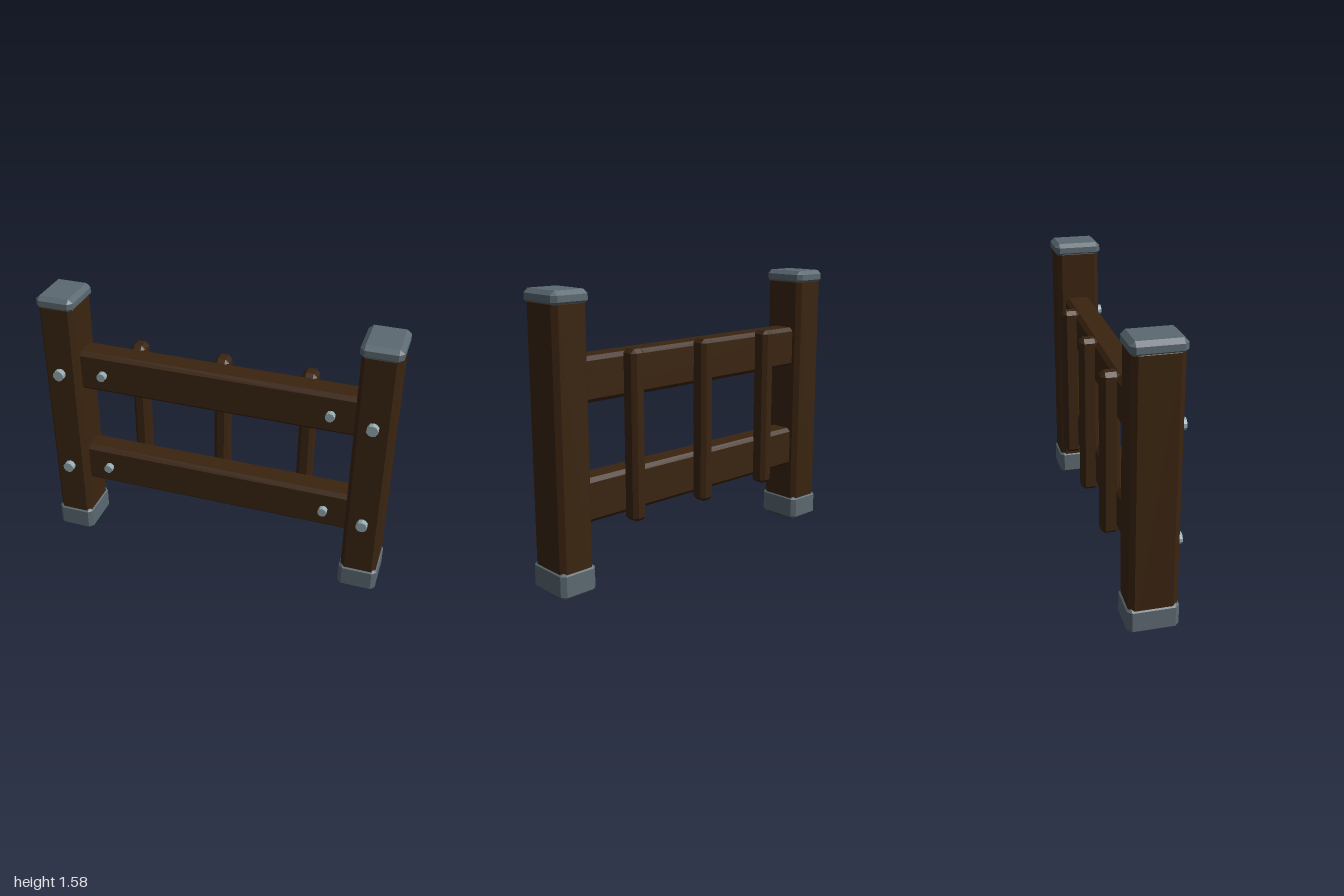
import * as THREE from 'three';
import { ConvexGeometry } from 'three/addons/geometries/ConvexGeometry.js';

function material(name, color) {
  const m = new THREE.MeshStandardMaterial({ color });
  m.name = name;
  return m;
}

// Box between two corners with every edge bevelled; c is the bevel on each axis
function bevelBox([x0, y0, z0], [x1, y1, z1], [cx, cy, cz]) {
  const hx = (x1 - x0) / 2, hy = (y1 - y0) / 2, hz = (z1 - z0) / 2;
  const points = [];
  for (const i of [-1, 1]) for (const j of [-1, 1]) for (const k of [-1, 1]) {
    points.push(
      new THREE.Vector3(i * hx, j * (hy - cy), k * (hz - cz)),
      new THREE.Vector3(i * (hx - cx), j * hy, k * (hz - cz)),
      new THREE.Vector3(i * (hx - cx), j * (hy - cy), k * hz)
    );
  }
  return new ConvexGeometry(points).translate((x0 + x1) / 2, (y0 + y1) / 2, (z0 + z1) / 2);
}

export function createModel() {
  const wood = material('dark wood', 0x3a2410);
  const iron = material('grey iron', 0x5b6971);
  const steel = material('pale steel', 0x96abb2);

  const model = new THREE.Group();
  model.name = 'fence';
  const add = (name, geometry, mat, parent = model) => {
    const mesh = new THREE.Mesh(geometry, mat);
    mesh.name = name;
    parent.add(mesh);
    return mesh;
  };

  // Bolt head pointing forward from the surface at z
  const bolt = (name, x, y, z, radius, parent) => {
    const length = 0.055;
    const g = new THREE.CylinderGeometry(radius, radius, length, 10).toNonIndexed();
    g.rotateX(Math.PI / 2).translate(x, y, z + 0.034 - length / 2);
    g.computeVertexNormals();
    add(name, g, steel, parent);
  };

  const boltHeights = [0.48, 1.113];

  // Posts with iron caps and shoes
  for (const side of [-1, 1]) {
    const post = new THREE.Group();
    post.name = side > 0 ? 'leftPost' : 'rightPost';
    const x = side * 0.89;
    add('postBeam', bevelBox([x - 0.102, 0, -0.129], [x + 0.102, 1.53, 0.129], [0.023, 0.02, 0.028]), wood, post);
    add('postCap', bevelBox([x - 0.11, 1.5, -0.138], [x + 0.11, 1.577, 0.138], [0.025, 0.022, 0.025]), iron, post);
    add('postShoe', bevelBox([x - 0.11, 0.006, -0.138], [x + 0.11, 0.155, 0.138], [0.024, 0.018, 0.024]), iron, post);
    for (const y of boltHeights) bolt('postBolt', x, y, 0.129, 0.032, post);
    model.add(post);
  }

  // Horizontal rails with their bolts
  for (const [name, y0, y1] of [['lowerRail', 0.36, 0.6], ['upperRail', 0.995, 1.235]]) {
    add(name, bevelBox([-0.83, y0, -0.083], [0.83, y1, 0.071], [0.02, 0.022, 0.022]), wood);
  }
  for (const y of boltHeights) for (const side of [-1, 1]) bolt('railBolt', side * 0.655, y, 0.071, 0.026);

  // Upright bars fixed to the back of the rails
  for (const x of [-0.497, 0, 0.497]) {
    add('backBar', bevelBox([x - 0.043, 0.322, -0.163], [x + 0.043, 1.253, -0.06], [0.022, 0.022, 0.022]), wood);
  }

  return model;
}
